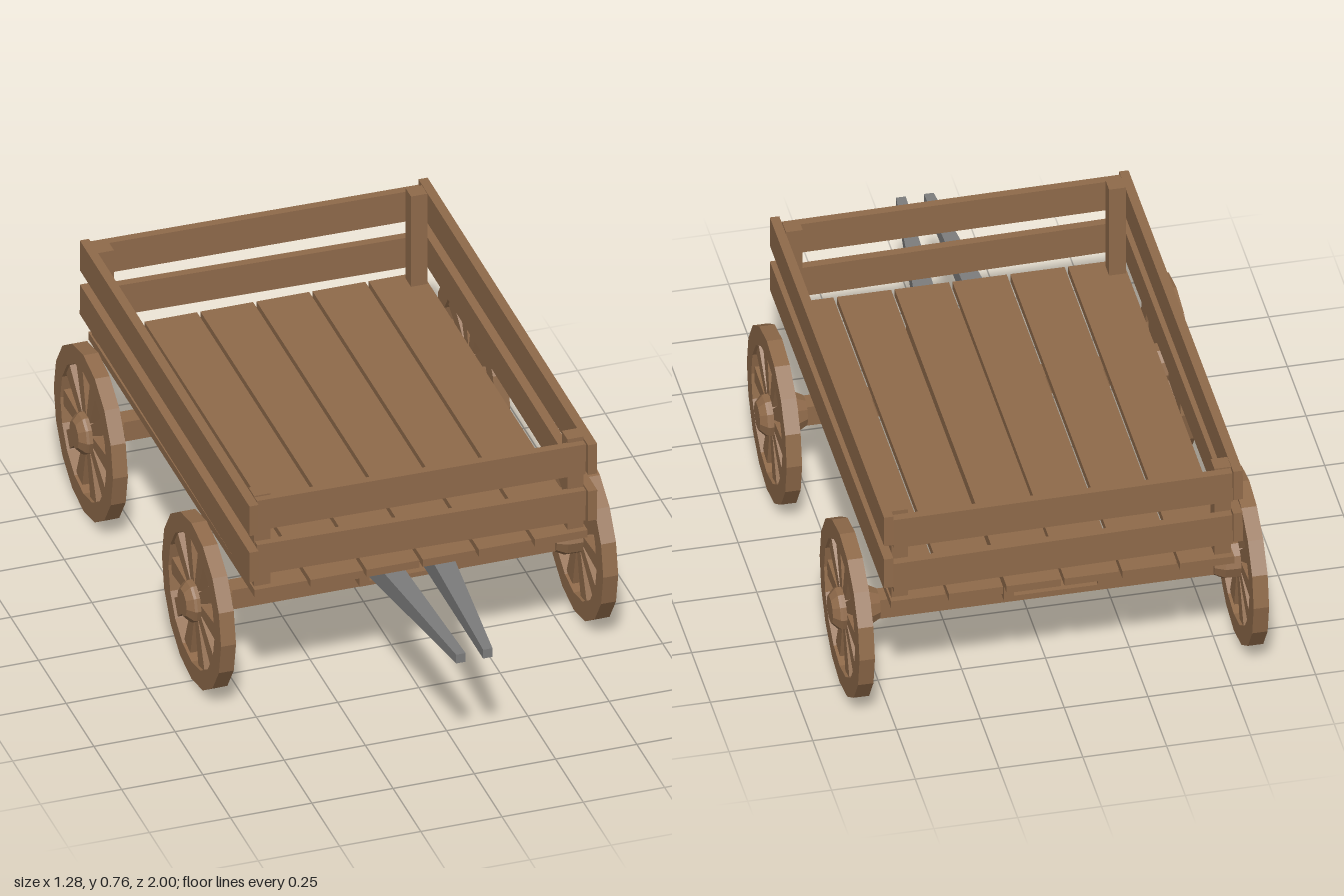
import * as THREE from 'three';

const wood = new THREE.MeshStandardMaterial({ color: 0x8f6a4a, flatShading: true });
const metal = new THREE.MeshStandardMaterial({ color: 0x7c7c7c, flatShading: true });

function add(parent, name, geometry, material = wood) {
  const mesh = new THREE.Mesh(geometry, material);
  mesh.name = name;
  parent.add(mesh);
  return mesh;
}

// Box given by its lower and upper limits on each axis
function block(parent, name, [x0, x1], [y0, y1], [z0, z1]) {
  const mesh = add(parent, name, new THREE.BoxGeometry(x1 - x0, y1 - y0, z1 - z0));
  mesh.position.set((x0 + x1) / 2, (y0 + y1) / 2, (z0 + z1) / 2);
  return mesh;
}

// Bar along z whose two ends are different rectangles [x0, x1, y0, y1]
function taperedBar(zBack, back, zFront, front) {
  const geometry = new THREE.BoxGeometry(1, 1, 1);
  const p = geometry.attributes.position;
  for (let i = 0; i < p.count; i++) {
    const isFront = p.getZ(i) > 0;
    const r = isFront ? front : back;
    p.setXYZ(i, p.getX(i) < 0 ? r[0] : r[1], p.getY(i) < 0 ? r[2] : r[3], isFront ? zFront : zBack);
  }
  geometry.computeVertexNormals();
  return geometry;
}

function polygon(path, radius, sides) {
  for (let i = 0; i < sides; i++) {
    const a = (i / sides) * Math.PI * 2 - Math.PI / 2;
    path[i ? 'lineTo' : 'moveTo'](Math.cos(a) * radius, Math.sin(a) * radius);
  }
  path.closePath();
  return path;
}

// Wheel with its axis along x, outside facing +x
function makeWheel() {
  const wheel = new THREE.Group();
  wheel.name = 'wheel';

  const ring = polygon(new THREE.Shape(), 0.267, 16);
  ring.holes.push(polygon(new THREE.Path(), 0.208, 16));
  const rim = add(wheel, 'rim', new THREE.ExtrudeGeometry(ring, { depth: 0.046, bevelEnabled: false }));
  rim.rotation.y = Math.PI / 2;
  rim.position.x = -0.023;

  // Spokes widen towards the rim
  for (let i = 0; i < 10; i++) {
    const spoke = add(wheel, 'spoke', taperedBar(
      0.03, [-0.014, 0.014, -0.014, 0.014],
      0.215, [-0.014, 0.014, -0.029, 0.029]));
    spoke.rotation.x = (i / 10) * Math.PI * 2;
  }

  // Hub with bevelled ends
  const profile = [[0, -0.09], [0.046, -0.09], [0.062, -0.06], [0.065, 0.025], [0.062, 0.033], [0.042, 0.052], [0, 0.052]];
  const hub = add(wheel, 'hub', new THREE.LatheGeometry(profile.map(([r, h]) => new THREE.Vector2(r, h)), 10));
  hub.rotation.z = -Math.PI / 2;
  return wheel;
}

export function createModel() {
  const cart = new THREE.Group();
  cart.name = 'woodenCart';

  // Deck planks
  for (let i = 0; i < 6; i++) {
    const x = (i - 2.5) * 0.1725;
    block(cart, 'deckPlank', [x - 0.081, x + 0.081], [0.425, 0.45], [-0.98, 0.52]);
  }

  // Corner posts
  for (const s of [-1, 1]) {
    for (const z of [-0.935, 0.475]) {
      block(cart, 'cornerPost', [s * 0.482 - 0.025, s * 0.482 + 0.025], [0.44, 0.76], [z - 0.025, z + 0.025]);
    }
  }

  // Rails, each very slightly crooked
  for (const [y, endTilt, sideTilt] of [[0.7, -0.009, 0.006], [0.545, -0.016, 0.011]]) {
    for (const z of [-0.973, 0.509]) {
      const rail = block(cart, 'endRail', [-0.506, 0.506], [y - 0.051, y + 0.051], [z - 0.013, z + 0.013]);
      rail.rotation.z = endTilt;
    }
    for (const s of [-1, 1]) {
      const rail = block(cart, 'sideRail', [s * 0.521 - 0.014, s * 0.521 + 0.014],
        [y + 0.007 - 0.051, y + 0.007 + 0.051], [-0.99, 0.54]);
      rail.rotation.x = sideTilt;
    }
  }

  // Hollow centre beam, open at both ends
  const tube = new THREE.Shape([[-0.155, 0.33], [0.155, 0.33], [0.155, 0.425], [-0.155, 0.425]].map(p => new THREE.Vector2(...p)));
  tube.holes.push(new THREE.Path([[-0.125, 0.345], [-0.125, 0.42], [0.125, 0.42], [0.125, 0.345]].map(p => new THREE.Vector2(...p))));
  const beam = add(cart, 'centreBeam', new THREE.ExtrudeGeometry(tube, { depth: 1.31, bevelEnabled: false }));
  beam.position.z = -0.89;

  // Axles, bolsters and wheels
  for (const z of [-0.735, 0.24]) {
    block(cart, 'axle', [-0.52, 0.52], [0.232, 0.298], [z - 0.03, z + 0.03]);
    block(cart, 'bolster', [-0.14, 0.14], [0.29, 0.335], [z - 0.05, z + 0.05]);
    for (const s of [-1, 1]) {
      const wheel = makeWheel();
      wheel.position.set(s * 0.588, 0.267, z);
      if (s < 0) wheel.rotation.y = Math.PI;
      cart.add(wheel);
    }
  }

  // Pair of tapered draw bars
  for (const s of [-1, 1]) {
    const xs = (a, b) => (s > 0 ? [a, b] : [-b, -a]);
    add(cart, 'drawBar', taperedBar(
      0.36, [...xs(0.05, 0.125), 0.345, 0.418],
      1, [...xs(0.027, 0.056), 0.39, 0.42]), metal);
  }
  return cart;
}
